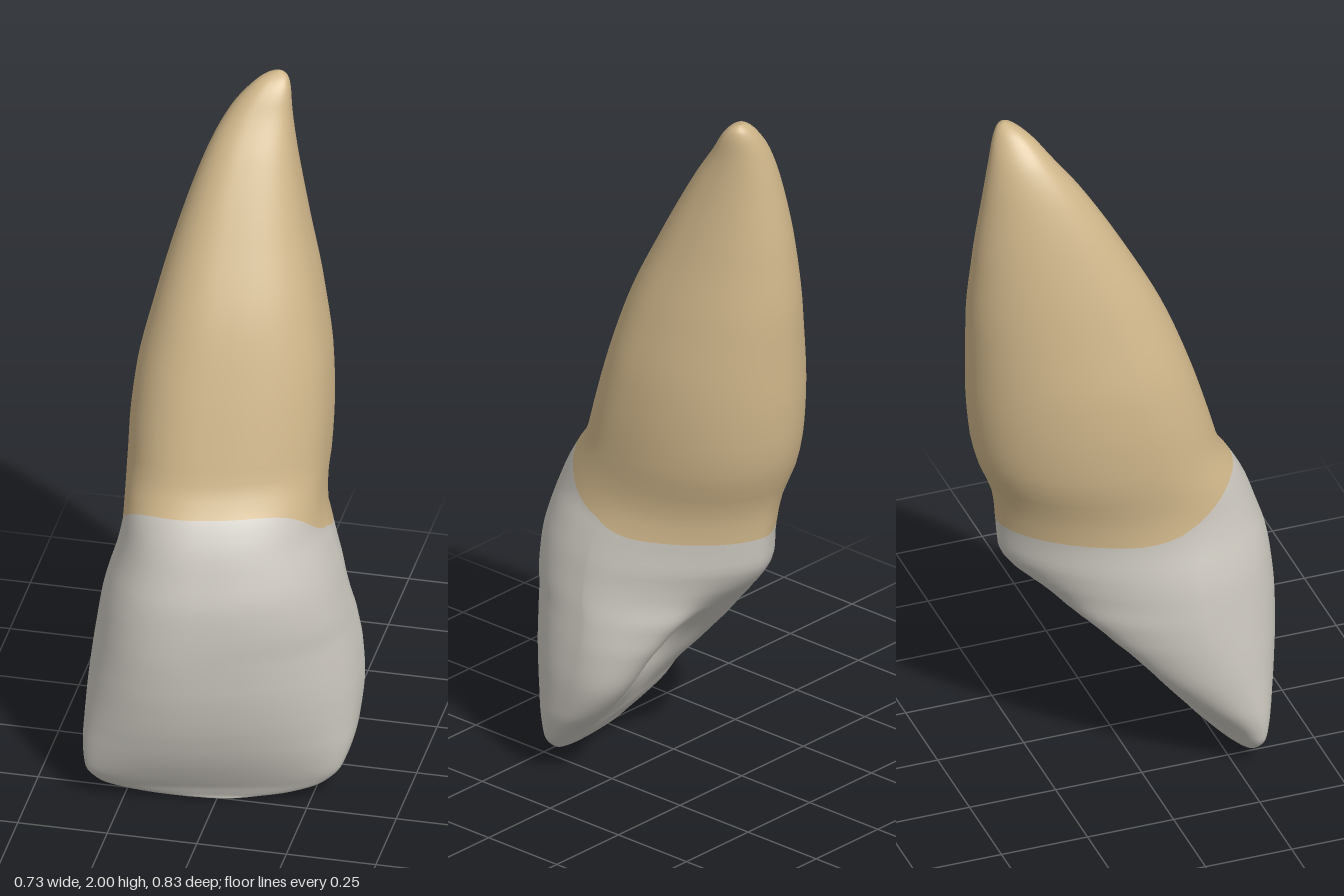
import * as THREE from 'three';

// Profile rows: y, min x, max x, front z, back z
const PROFILE = [
  [0, -0.001, 0.001, 0.251, 0.249],
  [0.006, -0.1, 0.09, 0.27, 0.225],
  [0.02, -0.21, 0.19, 0.29, 0.2],
  [0.05, -0.315, 0.28, 0.315, 0.165],
  [0.1, -0.355, 0.33, 0.342, 0.12],
  [0.2, -0.366, 0.358, 0.376, 0.01],
  [0.3, -0.365, 0.363, 0.398, -0.07],
  [0.4, -0.36, 0.355, 0.41, -0.125],
  [0.5, -0.35, 0.338, 0.414, -0.185],
  [0.55, -0.343, 0.328, 0.412, -0.235],
  [0.6, -0.335, 0.316, 0.408, -0.288],
  [0.66, -0.32, 0.302, 0.4, -0.323],
  [0.74, -0.297, 0.277, 0.376, -0.33],
  [0.82, -0.285, 0.251, 0.348, -0.338],
  [0.9, -0.287, 0.245, 0.305, -0.365],
  [0.95, -0.29, 0.247, 0.27, -0.385],
  [1.05, -0.29, 0.248, 0.24, -0.405],
  [1.2, -0.28, 0.24, 0.195, -0.414],
  [1.4, -0.24, 0.205, 0.122, -0.414],
  [1.6, -0.19, 0.155, 0.02, -0.398],
  [1.8, -0.125, 0.11, -0.1, -0.365],
  [1.9, -0.075, 0.092, -0.175, -0.343],
  [1.96, -0.025, 0.085, -0.222, -0.325],
  [1.99, 0.015, 0.073, -0.26, -0.308],
  [2, 0.049, 0.051, -0.289, -0.291],
];

const SIDES = 96, CROWN_ROWS = 56, ROOT_ROWS = 44;
const { smoothstep, lerp } = THREE.MathUtils;

// Monotone cubic interpolation of one profile column
function profile(col, y) {
  const P = PROFILE, last = P.length - 1;
  let i = 0;
  while (i < last - 1 && y > P[i + 1][0]) i++;
  const slope = (k) => (P[k + 1][col] - P[k][col]) / (P[k + 1][0] - P[k][0]);
  const tangent = (k) => {
    if (k === 0) return slope(0);
    if (k === last) return slope(last - 1);
    const a = slope(k - 1), b = slope(k);
    return a * b > 0 ? (2 * a * b) / (a + b) : 0;
  };
  const h = P[i + 1][0] - P[i][0], t = (y - P[i][0]) / h;
  const t2 = t * t, t3 = t2 * t;
  return (2 * t3 - 3 * t2 + 1) * P[i][col] + (t3 - 2 * t2 + t) * h * tangent(i)
    + (3 * t2 - 2 * t3) * P[i + 1][col] + (t3 - t2) * h * tangent(i + 1);
}

const power = (v, n) => Math.sign(v) * Math.abs(v) ** (2 / n);

// Cross-section before fitting: twisted egg, hollowed at the back of the crown
function rawSection(t, y, hx, range) {
  const c = Math.cos(t), s = Math.sin(t);
  const upper = smoothstep(y, 0.35, 0.8);
  // The back narrows to a blunt wedge below the gum line
  const backPower = lerp(lerp(2.3, 1.6, smoothstep(y, 0.15, 0.55)), 1.92, smoothstep(y, 0.65, 0.95));
  const n = s > 0 ? 2.4 + 0.3 * c : backPower;
  const u = power(c, n), w = power(s, n);
  const front = lerp(0.48, 0.39, upper);
  const skew = 0.21 * lerp(1, 0.62 + 0.38 * s, smoothstep(y, 0.15, 0.6));
  const depth = Math.max(0.03, range - 0.24 * hx);
  let z = w * depth * (w > 0 ? front : 1 - front) - skew * u * hx;
  // Hollow between the two edge ridges, narrowing upward, with faint folds
  const hollow = smoothstep(y, 0.06, 0.32) * (1 - smoothstep(y, 0.36, 0.64));
  if (s < 0) {
    const fold = 0.014 * Math.cos(u * 12 + 0.6);
    const width = lerp(0.62, 0.42, smoothstep(y, 0.2, 0.6));
    z += hollow * (0.15 + fold) * Math.exp(-(Math.abs(u / width) ** 3)) * smoothstep(-s, 0, 0.7);
  }
  return [u, z];
}

// Height of the gum line around the tooth
const gumLine = (t) => 0.745 + 0.155 * smoothstep(Math.sin(t), -0.45, 1);

// Surface point, with its section fitted to the profile at that height
function surfacePoint(t, y) {
  const [x0, x1, zf, zb] = [1, 2, 3, 4].map((col) => profile(col, y));
  const hx = (x1 - x0) / 2, range = zf - zb;
  let lo = Infinity, hi = -Infinity;
  for (let k = 0; k < 64; k++) {
    const z = rawSection((k / 64) * Math.PI * 2, y, hx, range)[1];
    lo = Math.min(lo, z);
    hi = Math.max(hi, z);
  }
  const [u, z] = rawSection(t, y, hx, range);
  return [(x0 + x1) / 2 + u * hx, y, zb + ((z - lo) / (hi - lo)) * range];
}

export function createModel() {
  const enamel = new THREE.MeshStandardMaterial({ color: 0xcac6be });
  enamel.name = 'enamel';
  const dentine = new THREE.MeshStandardMaterial({ color: 0xcfb68a });
  dentine.name = 'dentine';

  // Rows run from the biting edge to the gum line, then on to the root tip
  const positions = [];
  const rows = CROWN_ROWS + ROOT_ROWS;
  for (let r = 0; r <= rows; r++) {
    for (let j = 0; j < SIDES; j++) {
      const t = (j / SIDES) * Math.PI * 2, gum = gumLine(t);
      const y = r <= CROWN_ROWS
        ? gum * (r / CROWN_ROWS) ** 1.7
        : gum + (2 - gum) * (1 - (1 - (r - CROWN_ROWS) / ROOT_ROWS) ** 1.7);
      positions.push(...surfacePoint(t, y));
    }
  }

  const faces = (from, to) => {
    const index = [];
    for (let r = from; r < to; r++) {
      for (let j = 0; j < SIDES; j++) {
        const a = r * SIDES + j, b = r * SIDES + ((j + 1) % SIDES);
        index.push(a, a + SIDES, b, b, a + SIDES, b + SIDES);
      }
    }
    return index;
  };

  // Shared normals keep the join between crown and root smooth
  const whole = new THREE.BufferGeometry();
  whole.setAttribute('position', new THREE.Float32BufferAttribute(positions, 3));
  whole.setIndex(faces(0, rows));
  whole.computeVertexNormals();

  const group = new THREE.Group();
  group.name = 'tooth';
  const addPart = (name, from, to, material) => {
    const geometry = whole.clone();
    geometry.setIndex(faces(from, to));
    const mesh = new THREE.Mesh(geometry, material);
    mesh.name = name;
    group.add(mesh);
  };
  addPart('crown', 0, CROWN_ROWS, enamel);
  addPart('root', CROWN_ROWS, rows, dentine);
  return group;
}
